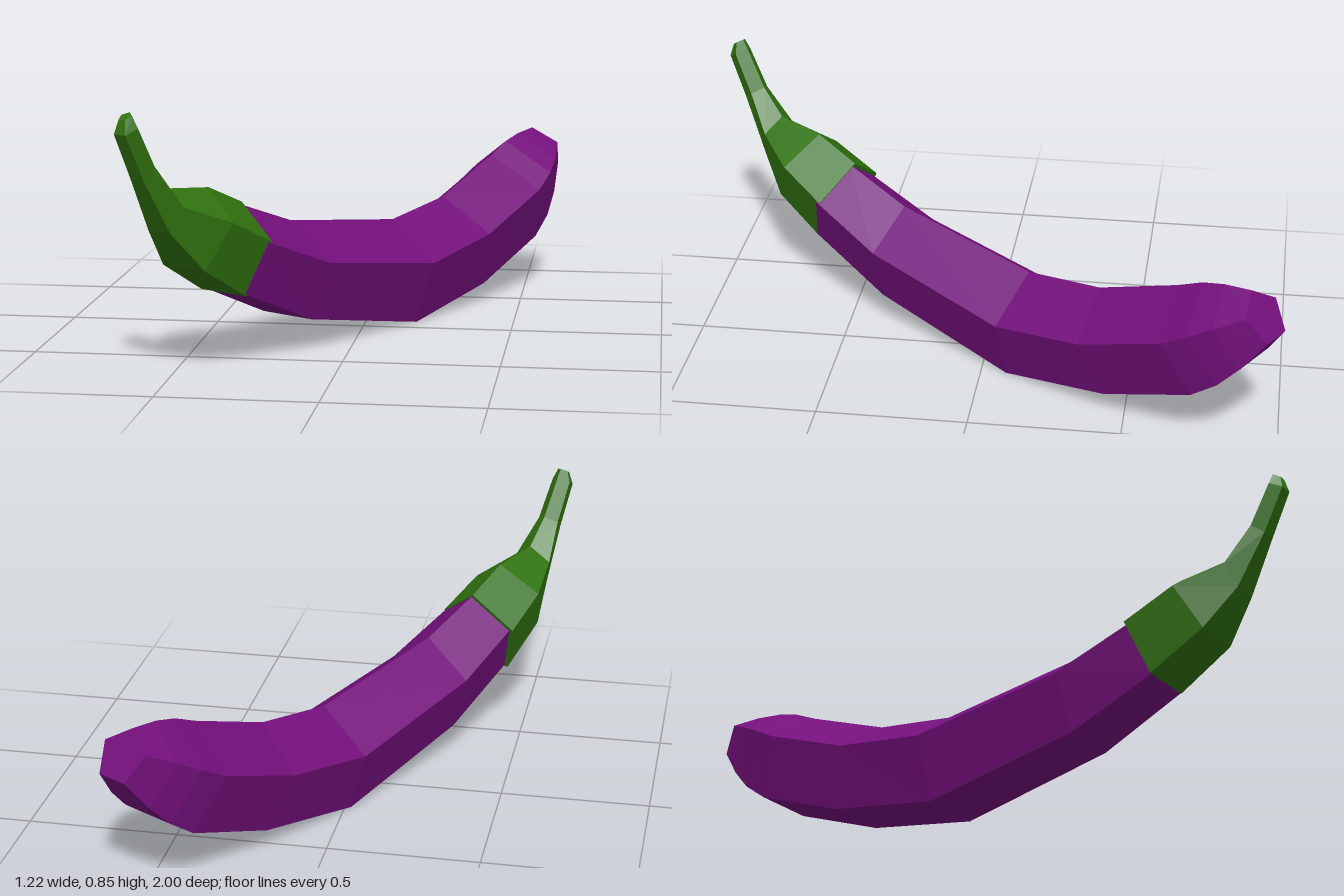
import * as THREE from 'three';

const SIDES = 5;
// Directions in plan: along the fruit (stem to tip) and across it
const along = new THREE.Vector3(0.5, 0, -0.866);
const across = new THREE.Vector3(0.866, 0, 0.5);

// Each ring is a regular pentagon given by its top corner and the middle of its
// bottom edge: [top along, top height, bottom along, bottom height, sideways shift]
function ringPoints([topS, topY, botS, botY, shift]) {
  const height = Math.hypot(topS - botS, topY - botY);
  const r = height / (1 + Math.cos(Math.PI / SIDES));
  const upS = (topS - botS) / height, upY = (topY - botY) / height;
  const points = [];
  for (let j = 0; j < SIDES; j++) {
    const a = (j / SIDES) * Math.PI * 2;
    const up = r * (Math.cos(a) - 1);
    const p = new THREE.Vector3(0, topY + upY * up, 0);
    p.addScaledVector(along, topS + upS * up);
    p.addScaledVector(across, shift + r * Math.sin(a));
    points.push(p);
  }
  return points;
}

// Skin a row of rings and close both ends
function loft(rows) {
  const rings = rows.map(ringPoints);
  const pos = [];
  const tri = (...pts) => pts.forEach((p) => pos.push(p.x, p.y, p.z));
  for (let i = 0; i < rings.length - 1; i++) {
    for (let j = 0; j < SIDES; j++) {
      const k = (j + 1) % SIDES;
      const [a, b, c, d] = [rings[i][j], rings[i][k], rings[i + 1][k], rings[i + 1][j]];
      tri(a, b, c);
      tri(a, c, d);
    }
  }
  const first = rings[0], last = rings[rings.length - 1];
  for (let j = 1; j < SIDES - 1; j++) {
    tri(first[0], first[j + 1], first[j]);
    tri(last[0], last[j], last[j + 1]);
  }
  const geo = new THREE.BufferGeometry();
  geo.setAttribute('position', new THREE.Float32BufferAttribute(pos, 3));
  geo.computeVertexNormals();
  return geo;
}

export function createModel() {
  const group = new THREE.Group();
  group.name = 'eggplant';

  const purple = new THREE.MeshStandardMaterial({ color: 0x74107c, flatShading: true });
  purple.name = 'purple skin';
  const green = new THREE.MeshStandardMaterial({ color: 0x30720f, flatShading: true });
  green.name = 'green stem';

  // Curved fruit, from under the cap to the blunt tip
  const fruit = new THREE.Mesh(loft([
    [-0.62, 0.508, -0.70, 0.245, -0.012],
    [-0.37, 0.42, -0.39, 0.11, -0.01],
    [0.17, 0.345, 0.16, 0.003, -0.005],
    [0.46, 0.385, 0.56, 0.07, 0],
    [0.76, 0.495, 0.89, 0.19, 0],
    [0.85, 0.535, 0.98, 0.255, 0],
    [0.93, 0.555, 1.05, 0.33, 0],
    [1.026, 0.565, 1.123, 0.43, -0.002],
  ]), purple);
  fruit.name = 'fruit';

  // Stem narrowing out of the flared cap
  const cap = new THREE.Mesh(loft([
    [-1.105, 0.85, -1.14, 0.83, -0.017],
    [-1.085, 0.815, -1.15, 0.787, -0.017],
    [-1.015, 0.69, -1.08, 0.645, -0.017],
    [-0.935, 0.60, -0.985, 0.472, -0.017],
    [-0.76, 0.58, -0.878, 0.345, -0.017],
    [-0.60, 0.512, -0.69, 0.235, -0.02],
  ]), green);
  cap.name = 'stemAndCap';

  group.add(fruit, cap);
  return group;
}
